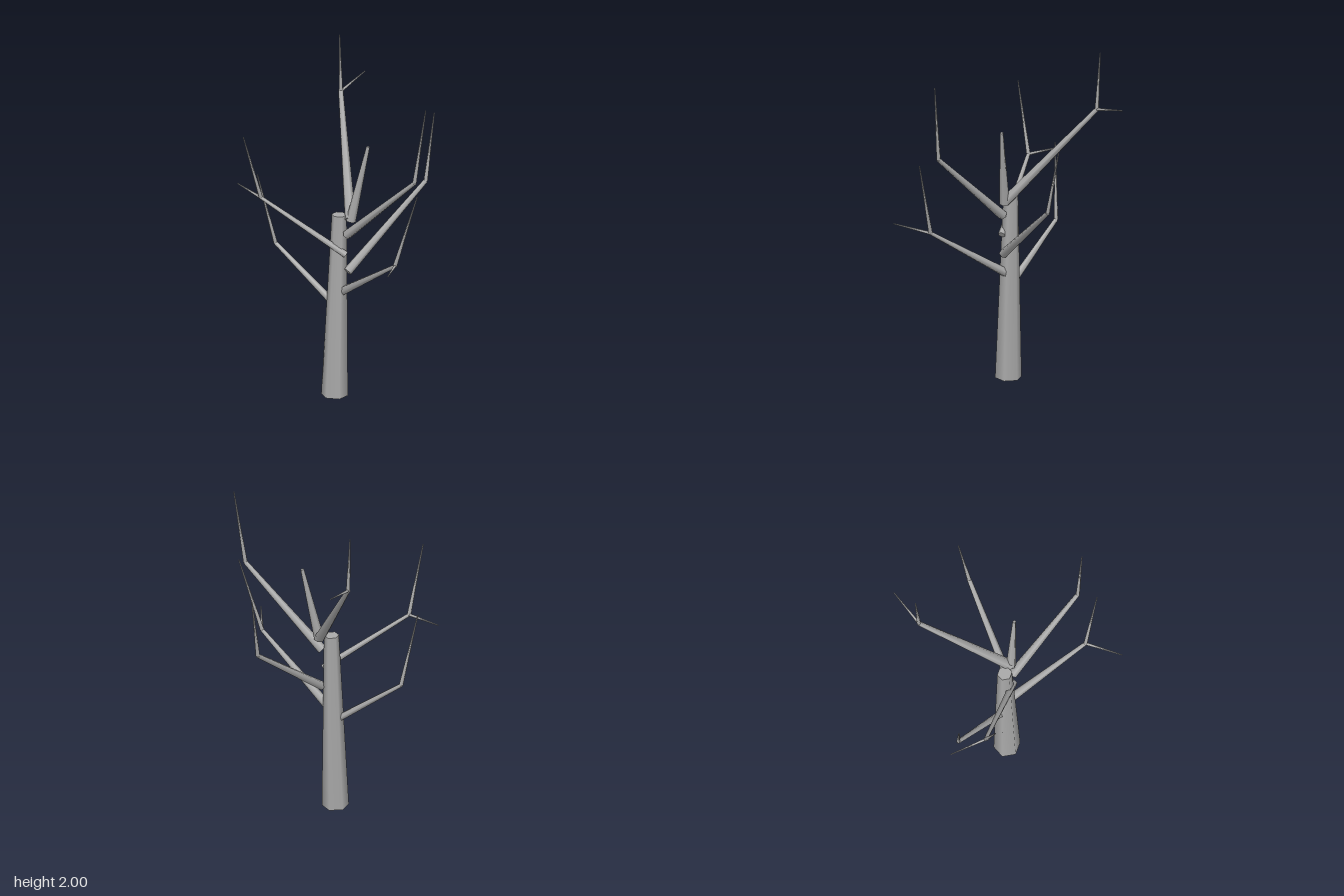
import * as THREE from 'three';

const UP = new THREE.Vector3(0, 1, 0);

export function createModel() {
  const tree = new THREE.Group();
  tree.name = 'bareTree';
  const bark = new THREE.MeshStandardMaterial({ color: 0xaaaaaa });
  bark.name = 'greyBark';

  // Tapered six-sided limb between two points
  function limb(name, from, to, r0, r1) {
    const a = new THREE.Vector3(...from);
    const dir = new THREE.Vector3(...to).sub(a);
    const length = dir.length();
    const geo = new THREE.CylinderGeometry(r1, r0, length, 6);
    geo.translate(0, length / 2, 0);
    const mesh = new THREE.Mesh(geo, bark);
    mesh.name = name;
    mesh.position.copy(a);
    mesh.quaternion.setFromUnitVectors(UP, dir.normalize());
    tree.add(mesh);
  }

  // Trunk, leaning slightly backwards
  limb('trunk', [-0.037, 0.003, 0.154], [-0.028, 1.11, 0.123], 0.077, 0.043);

  // Branches: start, end, radii, and the twig tips that grow from the end
  const branches = [
    { name: 'topBranch', from: [0.035, 1.09, 0.1], to: [-0.335, 1.66, -0.27], r: [0.032, 0.014],
      twigs: [[-0.352, 2.0, -0.28], [-0.336, 1.71, -0.49]] },
    { name: 'topStub', from: [0.038, 1.08, 0.1], to: [0.115, 1.54, 0.038], r: [0.029, 0.01], twigs: [] },
    { name: 'upperLeftBranch', from: [0.03, 1.0, 0.125], to: [0.52, 1.45, 0.119], r: [0.028, 0.013],
      twigs: [[0.577, 1.905, 0.087]] },
    { name: 'backBranch', from: [0.03, 0.77, 0.12], to: [0.165, 1.19, -0.42], r: [0.026, 0.013],
      twigs: [[0.158, 1.58, -0.507]] },
    { name: 'lowerLeftBranch', from: [0.0, 0.645, 0.13], to: [0.475, 0.965, 0.24], r: [0.026, 0.011],
      twigs: [[0.6, 1.41, 0.193], [0.583, 0.995, 0.437]] },
    { name: 'upperRightBranch', from: [0.03, 0.88, 0.135], to: [-0.39, 1.205, 0.385], r: [0.021, 0.011],
      twigs: [[-0.418, 1.61, 0.508], [-0.605, 1.215, 0.33]] },
    { name: 'lowerRightBranch', from: [-0.075, 0.58, 0.148], to: [-0.435, 0.85, 0.197], r: [0.021, 0.012],
      twigs: [[-0.5, 1.28, 0.28]] },
  ];
  for (const b of branches) {
    limb(b.name, b.from, b.to, b.r[0], b.r[1]);
    b.twigs.forEach((tip, i) => limb(b.name + 'Twig' + (i + 1), b.to, tip, i ? 0.009 : 0.012, 0.003));
  }
  return tree;
}
